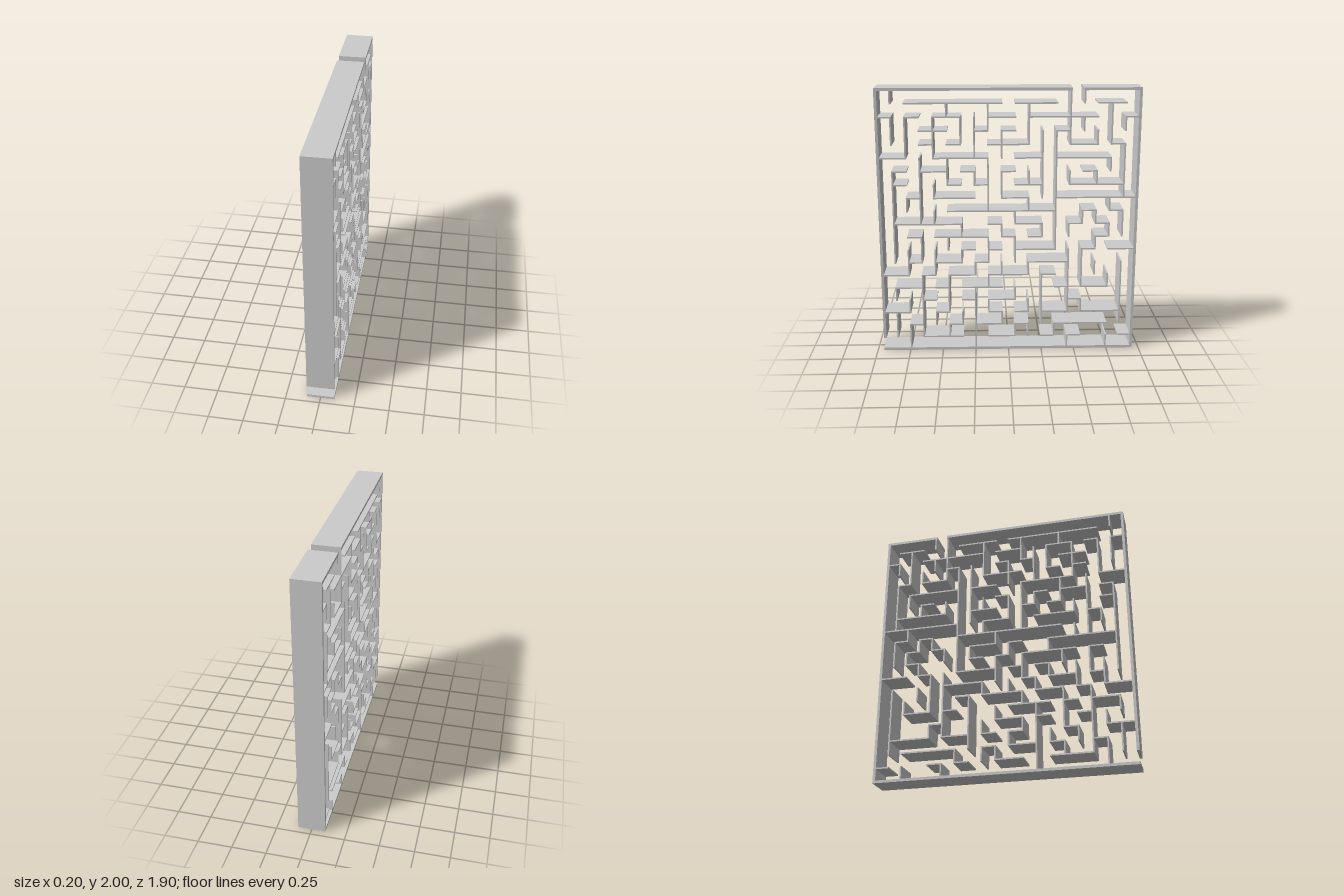
import * as THREE from 'three';

const COLS = 19, ROWS = 20;
const DEPTH = 0.2, FRAME = 0.02, WALL = 0.011;
const zOf = c => 0.942 - c * (1.884 / COLS);   // columns run from front to back
const yOf = r => 1.99 - r * (1.98 / ROWS);     // rows run from top to bottom

// Shelves: for each row, pairs of start and end column
const shelves = {
  1: [[2, 9], [10, 13], [16, 18]],
  2: [[0, 1], [2, 3], [4, 6], [8, 10], [11, 14], [14, 16], [18, 19]],
  3: [[3, 5], [7, 8], [9, 10], [13, 14]],
  4: [[3, 4], [5, 6], [8, 11], [14, 16], [17, 18]],
  5: [[0, 2], [4, 8], [10, 12], [13, 17]],
  6: [[1, 2], [3, 5], [6, 7], [9, 10], [15, 16]],
  7: [[1, 2], [5, 6], [7, 8], [10, 12], [14, 18]],
  8: [[2, 3], [4, 7], [9, 11], [13, 19]],
  9: [[5, 13], [15, 16], [17, 18]],
  10: [[1, 6], [8, 9], [10, 12], [14, 15], [16, 17]],
  11: [[2, 3], [4, 8], [9, 10], [11, 12], [16, 17]],
  12: [[6, 7], [8, 9], [10, 13], [15, 16], [17, 19]],
  13: [[2, 3], [4, 6], [7, 8], [11, 14]],
  14: [[0, 2], [3, 4], [5, 7], [8, 11], [12, 13]],
  15: [[1, 3], [4, 5], [6, 9], [13, 14], [15, 17]],
  16: [[3, 4], [6, 7], [8, 10], [14, 15]],
  17: [[0, 2], [4, 5], [8, 9], [10, 11], [12, 14], [15, 18]],
  18: [[2, 3], [5, 6], [7, 9], [10, 11], [13, 17]],
  19: [[3, 6], [8, 10], [12, 13], [14, 15], [18, 19]],
};

// Uprights: for each column, pairs of start and end row
const uprights = {
  1: [[0, 1], [2, 4], [6, 13], [15, 16], [17, 19]],
  2: [[2, 5], [8, 9], [12, 14], [16, 17], [18, 20]],
  3: [[5, 10], [11, 13], [14, 19]],
  4: [[2, 5], [7, 8], [9, 10], [12, 14], [17, 18]],
  5: [[1, 2], [5, 7], [11, 12], [14, 17], [18, 19]],
  6: [[2, 4], [10, 11], [12, 13], [17, 18]],
  7: [[2, 5], [6, 7], [13, 14], [15, 20]],
  8: [[1, 3], [5, 9], [11, 13], [14, 15], [16, 17]],
  9: [[3, 5], [6, 8], [10, 11], [13, 14], [17, 18]],
  10: [[9, 10], [11, 13], [15, 16], [18, 19]],
  11: [[1, 4], [6, 7], [8, 9], [13, 14], [16, 17], [18, 19]],
  12: [[3, 8], [10, 11], [14, 18]],
  13: [[3, 12], [18, 19]],
  14: [[0, 4], [6, 7], [10, 11], [12, 17], [19, 20]],
  15: [[0, 1], [2, 3], [9, 10], [12, 15], [16, 17]],
  16: [[3, 4], [6, 7], [9, 10], [11, 12], [13, 14]],
  17: [[1, 4], [5, 6], [8, 9], [10, 11], [14, 15], [19, 20]],
  18: [[2, 3], [4, 8], [9, 11], [13, 18]],
};

export function createModel() {
  const model = new THREE.Group();
  model.name = 'maze';
  const material = new THREE.MeshStandardMaterial({ color: 0xcccccc, flatShading: true });
  const frame = new THREE.Group();
  frame.name = 'outerFrame';
  const inner = new THREE.Group();
  inner.name = 'innerWalls';
  model.add(frame, inner);

  // One straight wall between two grid corners, lengthened to fill its corners
  function addWall(parent, name, c0, r0, c1, r1, thick) {
    const height = yOf(r0) - yOf(r1) + thick;
    const length = zOf(c0) - zOf(c1) + thick;
    const wall = new THREE.Mesh(new THREE.BoxGeometry(DEPTH, height, length), material);
    wall.name = name;
    wall.position.set(0, (yOf(r0) + yOf(r1)) / 2, (zOf(c0) + zOf(c1)) / 2);
    parent.add(wall);
  }

  // Frame, open for one cell at the top and at the lower front
  addWall(frame, 'topLong', 0, 0, 14, 0, FRAME);
  addWall(frame, 'topShort', 15, 0, COLS, 0, FRAME);
  addWall(frame, 'base', 0, ROWS, COLS, ROWS, FRAME);
  addWall(frame, 'frontSide', 0, 0, 0, 19, FRAME);
  addWall(frame, 'backSide', COLS, 0, COLS, ROWS, FRAME);

  // Maze walls
  for (const [r, spans] of Object.entries(shelves))
    for (const [a, b] of spans) addWall(inner, 'shelf', a, +r, b, +r, WALL);
  for (const [c, spans] of Object.entries(uprights))
    for (const [a, b] of spans) addWall(inner, 'upright', +c, a, +c, b, WALL);

  return model;
}
